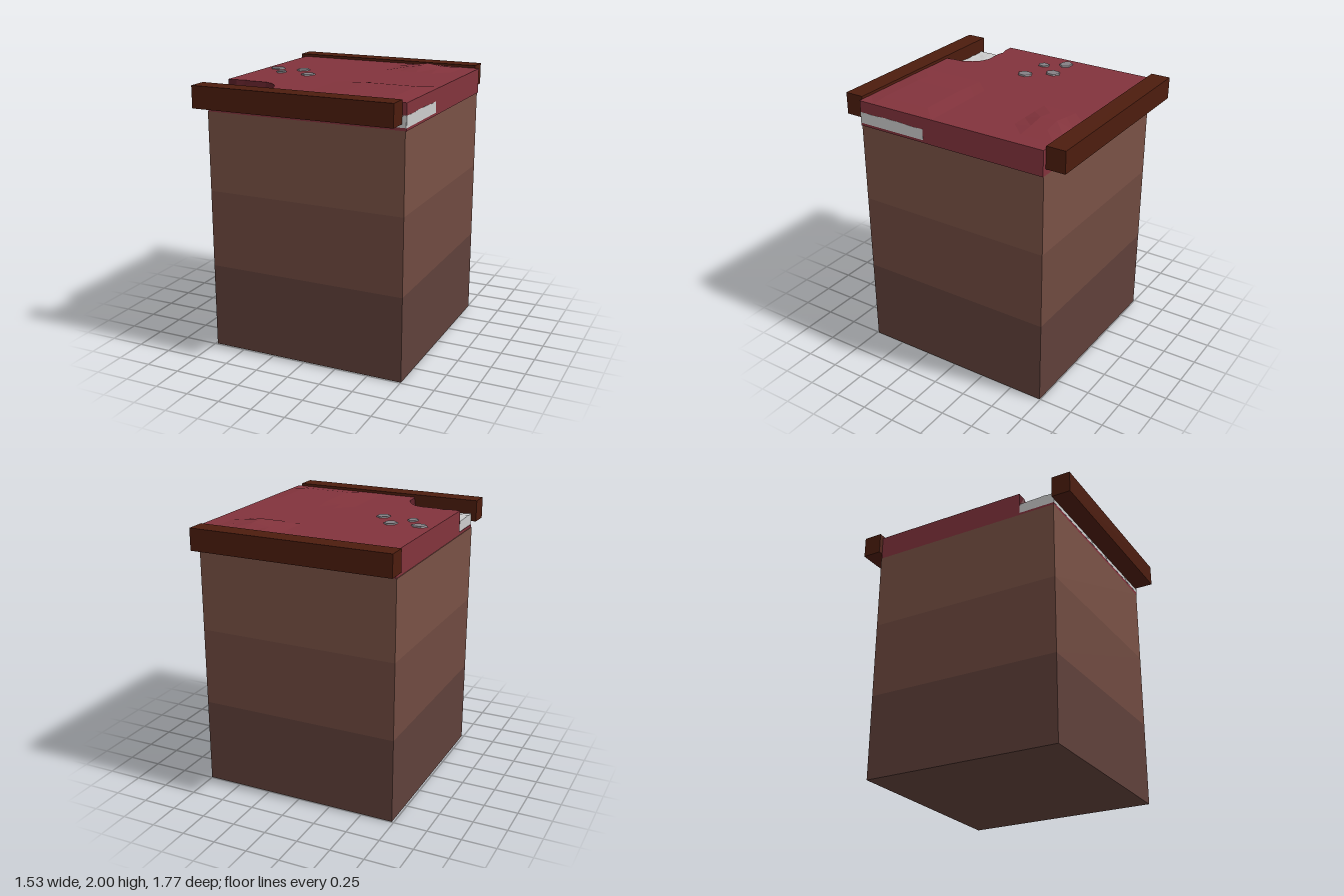
import * as THREE from 'three';

const mat = (color, extra = {}) => new THREE.MeshStandardMaterial({ color, flatShading: true, ...extra });

export function createModel() {
  const group = new THREE.Group();
  const soil = [0x5f403a, 0x6f4a40, 0x795145];
  const red = mat(0x82333c), wood = mat(0x4c1c0e), stone = mat(0x858085), plaster = mat(0xc4c4c4);

  const add = (name, geometry, material) => {
    const mesh = new THREE.Mesh(geometry, material);
    mesh.name = name;
    group.add(mesh);
    return mesh;
  };
  // Box given by its lower and upper corners
  const box = (name, [x0, y0, z0], [x1, y1, z1], material) => {
    const g = new THREE.BoxGeometry(x1 - x0, y1 - y0, z1 - z0);
    g.translate((x0 + x1) / 2, (y0 + y1) / 2, (z0 + z1) / 2);
    return add(name, g, material);
  };

  // Body: three stacked bands
  const levels = [0, 0.63, 1.2, 1.78];
  soil.forEach((c, i) => box('bodyBand' + (i + 1),
    [-0.735, levels[i], -0.745], [0.752, levels[i + 1], 0.74], mat(c)));

  // Top slab with a broken front corner
  const top = 1.965;
  const rim = [[-0.73, 0.465], [-0.66, 0.465], [-0.6, 0.45], [-0.55, 0.463], [-0.42, 0.462], [-0.36, 0.487],
    [-0.31, 0.54], [-0.275, 0.61], [-0.27, 0.68], [-0.26, 0.74]];
  const foot = [[-0.73, 0.468], [-0.66, 0.483], [-0.6, 0.49], [-0.55, 0.492], [-0.42, 0.502], [-0.37, 0.525],
    [-0.33, 0.565], [-0.295, 0.625], [-0.285, 0.68], [-0.275, 0.74]];
  const outline = [...rim, [0.76, 0.74], [0.76, -0.745], [-0.73, -0.745]];
  const slabShape = new THREE.Shape(outline.map(([x, z]) => new THREE.Vector2(x, -z)));
  const slab = new THREE.ExtrudeGeometry(slabShape, { depth: top - 1.78, bevelEnabled: false });
  slab.rotateX(-Math.PI / 2).translate(0, 1.78, 0);
  add('topSlab', slab, red);

  // Thin red bed below the plaster in the broken corner
  box('cornerBed', [-0.73, 1.78, 0.46], [-0.26, 1.8, 0.74], red);

  // Sloping broken face between rim and plaster
  const face = new THREE.PlaneGeometry(1, 1, rim.length - 1, 1);
  rim.forEach(([x, z], i) => {
    face.attributes.position.setXYZ(i, x, top, z);
    face.attributes.position.setXYZ(i + rim.length, foot[i][0], 1.865, foot[i][1]);
  });
  face.computeVertexNormals();
  add('brokenFace', face, mat(0x5a1f27, { side: THREE.DoubleSide }));

  // Rough plaster layer, showing in the corner and along the +x side
  const layer = new THREE.BoxGeometry(1.486, 0.08, 0.541, 36, 1, 14);
  layer.translate(0.018, 1.84, 0.4705);
  const p = layer.attributes.position;
  for (let i = 0; i < p.count; i++) {
    if (p.getY(i) < 1.85) continue;
    const s = Math.sin(Math.round(p.getX(i) * 500) * 12.99 + Math.round(p.getZ(i) * 500) * 78.23) * 437.5;
    p.setY(i, 1.876 + 0.009 * (s - Math.floor(s)));
  }
  layer.computeVertexNormals();
  add('plasterLayer', layer, plaster);

  // Plaster chips on the front edge
  const chips = [[[-0.2, 1.83], [-0.15, 1.83], [-0.16, 1.81]], [[-0.11, 1.83], [-0.07, 1.83], [-0.06, 1.8], [-0.09, 1.8]],
    [[0.135, 1.83], [0.175, 1.83], [0.17, 1.81], [0.14, 1.815]], [[0.51, 1.83], [0.61, 1.83], [0.61, 1.8], [0.53, 1.805]],
    [[0.72, 1.88], [0.758, 1.88], [0.758, 1.8]]];
  chips.forEach((c) => {
    const g = new THREE.ExtrudeGeometry(new THREE.Shape(c.map((q) => new THREE.Vector2(...q))),
      { depth: 0.004, bevelEnabled: false });
    add('plasterChip', g.translate(0, 0, 0.739), plaster);
  });

  // Low swellings of the top: a grid whose inner vertices are raised
  const cell = 0.124;
  const swelling = (x0, z0, nx, nz, height) => {
    const g = new THREE.PlaneGeometry(nx * cell, nz * cell, nx, nz);
    g.rotateX(-Math.PI / 2).translate(x0 + nx * cell / 2, top, z0 + nz * cell / 2);
    const a = g.attributes.position;
    for (let j = 1; j < nz; j++)
      for (let i = 1; i < nx; i++) a.setY(j * (nx + 1) + i, top + height(i, j));
    g.computeVertexNormals();
    add('swelling', g.translate(0, 0.0006, 0), red);
  };
  swelling(0.14, -0.745, 4, 3, (i) => (i === 2 ? 0.034 : 0.016));
  swelling(0.016, 0.122, 6, 5, (i) => (i > 1 ? 0.014 : 0.007));

  // Small hexagonal stones set into the top
  [[-0.63, -0.1, 0.068, 0.054, 0], [-0.42, -0.11, 0.055, 0.064, 0.4],
    [-0.53, 0.035, 0.042, 0.052, 0.3], [-0.295, 0.055, 0.056, 0.064, 0.45]].forEach(([x, z, rx, rz, turn]) => {
    const g = new THREE.CylinderGeometry(0.82, 1, 0.016, 6);
    g.rotateY(Math.PI / 6 + turn).scale(rx, 1, rz).translate(x, top + 0.001, z);
    add('stone', g, stone);
  });

  // Wooden beams along front and back
  box('frontBeam', [-0.765, 1.825, 0.743], [0.73, 1.985, 0.886], wood);
  box('backBeam', [-0.765, 1.825, -0.888], [0.73, 1.985, -0.745], wood);

  return group;
}
